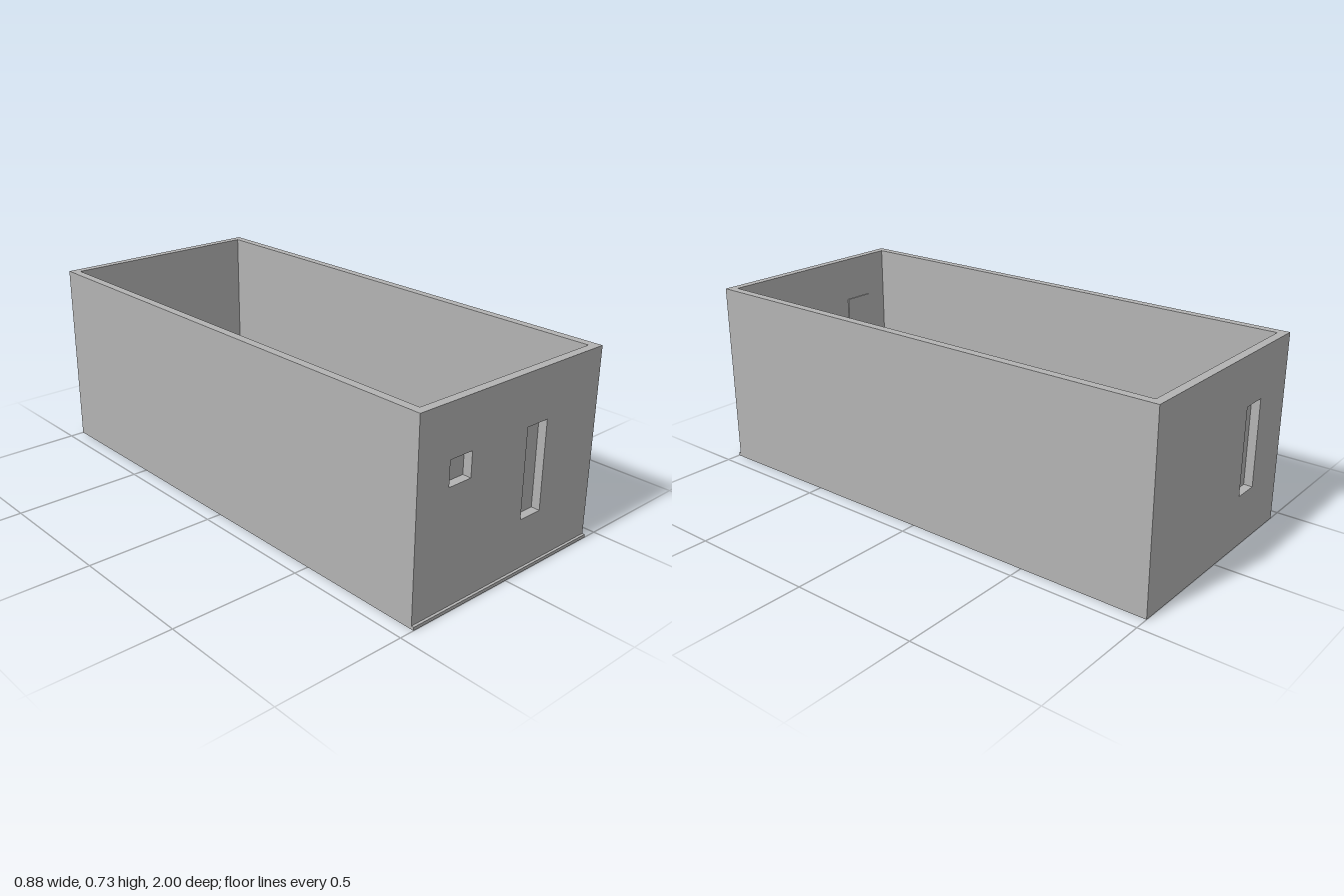
import * as THREE from 'three';

const W = 0.885, H = 0.73, T = 0.033;   // outer width, height, wall thickness
const FRONT = 0.99, BACK = -1;          // outer faces of the end walls
const LIP = 0.0125, PANEL = 0.005;      // panel overlap around an opening, panel thickness

const frontOpenings = [
  { name: 'window', x0: -0.3, x1: -0.2, y0: 0.445, y1: 0.538 },
  { name: 'door', x0: 0.069, x1: 0.169, y0: 0.202, y1: 0.538 },
];
const backOpenings = [
  { name: 'backDoor', x0: -0.252, x1: -0.152, y0: 0.202, y1: 0.538 },
];

function rect(target, x0, x1, y0, y1) {
  return target.moveTo(x0, y0).lineTo(x1, y0).lineTo(x1, y1).lineTo(x0, y1).closePath();
}

export function createModel() {
  const model = new THREE.Group();
  model.name = 'openBuilding';
  const grey = new THREE.MeshStandardMaterial({ color: 0xb3b3b3 });
  grey.name = 'wallGrey';

  function add(name, geometry, x, y, z) {
    const mesh = new THREE.Mesh(geometry, grey);
    mesh.name = name;
    mesh.position.set(x, y, z);
    model.add(mesh);
  }

  // End wall pierced by openings, each closed by a thin panel on the inner face
  function endWall(name, z, innerZ, openings) {
    const shape = rect(new THREE.Shape(), -W / 2, W / 2, 0, H);
    for (const o of openings) shape.holes.push(rect(new THREE.Path(), o.x0, o.x1, o.y0, o.y1));
    add(name, new THREE.ExtrudeGeometry(shape, { depth: T, bevelEnabled: false }), 0, 0, z);
    for (const o of openings) {
      const panel = new THREE.BoxGeometry(o.x1 - o.x0 + 2 * LIP, o.y1 - o.y0 + 2 * LIP, PANEL);
      add(o.name + 'Panel', panel, (o.x0 + o.x1) / 2, (o.y0 + o.y1) / 2, innerZ);
    }
  }
  endWall('frontWall', FRONT - T, FRONT - T - PANEL / 2, frontOpenings);
  endWall('backWall', BACK, BACK + T + PANEL / 2, backOpenings);

  // Long side walls between the end walls
  const length = FRONT - BACK - 2 * T;
  for (const [name, s] of [['leftWall', 1], ['rightWall', -1]]) {
    add(name, new THREE.BoxGeometry(T, H, length), s * (W - T) / 2, H / 2, (FRONT + BACK) / 2);
  }

  // Low sill along the foot of the front wall
  const sillHeight = 0.0125, sillDepth = 1 - FRONT;
  add('frontSill', new THREE.BoxGeometry(W, sillHeight, sillDepth), 0, sillHeight / 2, FRONT + sillDepth / 2);

  return model;
}
